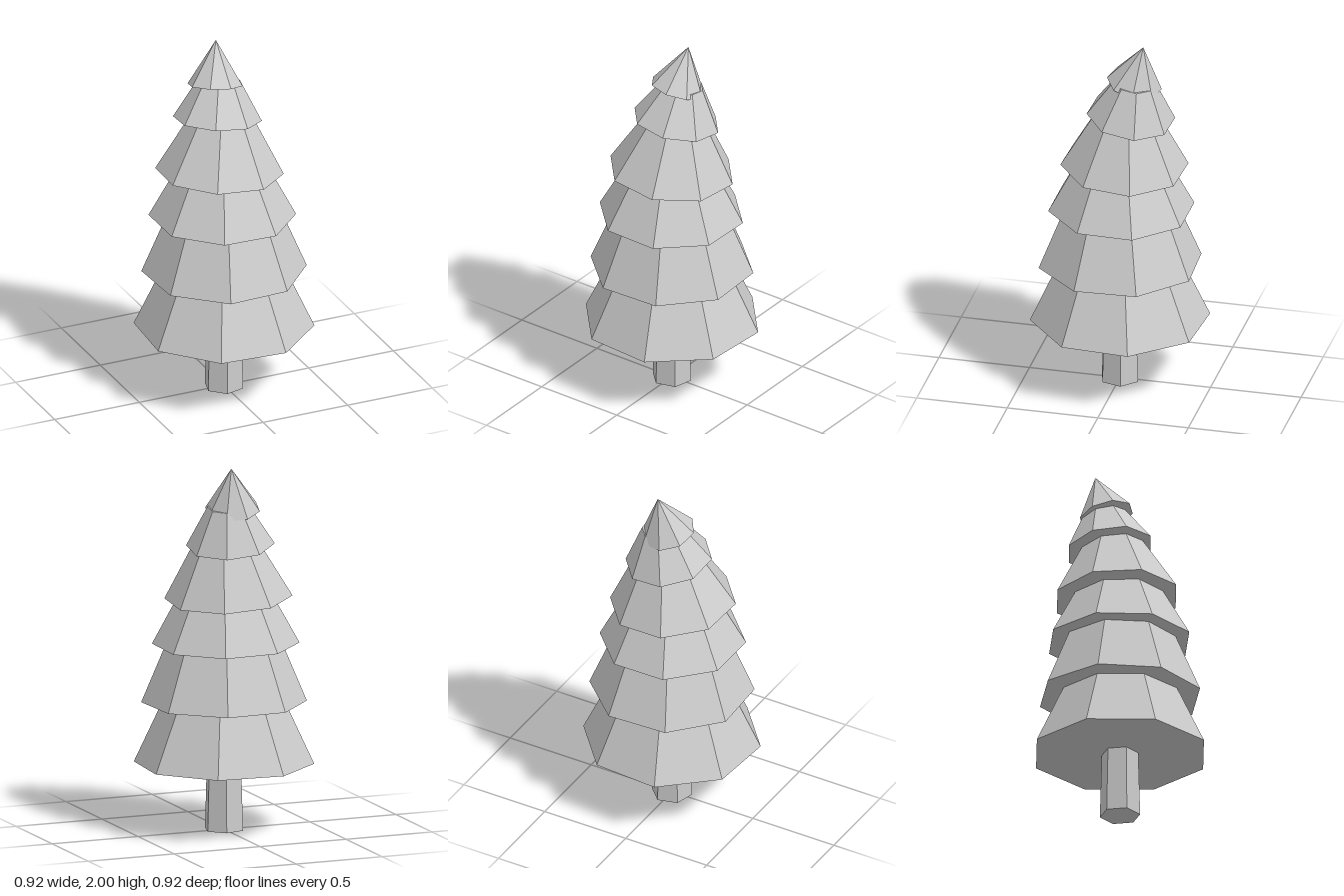
import * as THREE from 'three';

const UP = new THREE.Vector3(0, 1, 0);

// Tiers, bottom to top: base centre, base radius, top radius, height,
// angle of the first corner (degrees, from x toward z), lean direction of the axis (x, z)
const TIERS = [
  { base: [0, 0.365, 0], r: 0.485, top: 0.32, h: 0.355, turn: 26.5, lean: [0, 0] },
  { base: [0, 0.70, 0], r: 0.445, top: 0.303, h: 0.34, turn: 20, lean: [0, 0] },
  { base: [-0.008, 1.02, -0.005], r: 0.396, top: 0.247, h: 0.275, turn: 23, lean: [0.014, -0.012] },
  { base: [-0.0175, 1.275, -0.02], r: 0.345, top: 0.169, h: 0.315, turn: 26.5, lean: [0.065, -0.05] },
  { base: [-0.013, 1.57, -0.057], r: 0.239, top: 0.112, h: 0.22, turn: 27, lean: [0.11, -0.13] },
  { base: [-0.018, 1.765, -0.075], r: 0.15, top: 0, h: 0.244, turn: 35, lean: [0.13, -0.24] },
];

export function createModel() {
  const tree = new THREE.Group();
  tree.name = 'pineTree';
  const material = new THREE.MeshStandardMaterial({ color: 0xcccccc, flatShading: true });

  // A faceted frustum standing on its base centre
  const frustum = (name, sides, { base, r, top, h, turn, lean }) => {
    const start = THREE.MathUtils.degToRad(90 - turn);
    const geometry = new THREE.CylinderGeometry(top, r, h, sides, 1, false, start);
    geometry.translate(0, h / 2, 0);
    const mesh = new THREE.Mesh(geometry, material);
    mesh.name = name;
    mesh.position.set(...base);
    const axis = new THREE.Vector3(lean[0], 1, lean[1]).normalize();
    mesh.quaternion.setFromUnitVectors(UP, axis);
    tree.add(mesh);
  };

  // Six-sided trunk
  frustum('trunk', 6, { base: [0, 0, 0], r: 0.11, top: 0.099, h: 0.38, turn: 45, lean: [0, 0] });

  // Eight-sided branch tiers, leaning more toward the tip
  TIERS.forEach((tier, i) => frustum(`branchTier${i + 1}`, 8, tier));

  return tree;
}
